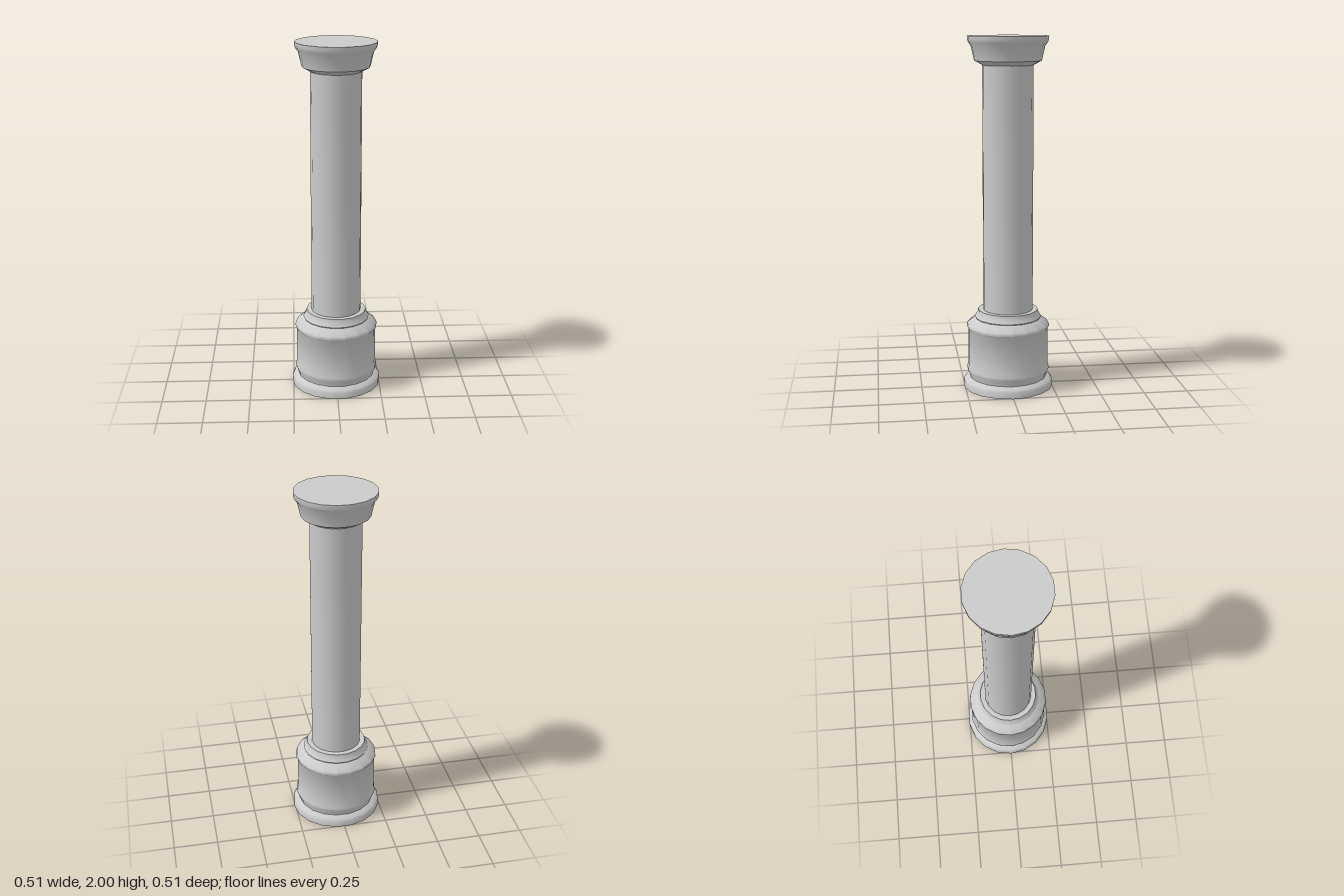
import * as THREE from 'three';
import { toCreasedNormals } from 'three/addons/utils/BufferGeometryUtils.js';

const SIDES = 18;

export function createModel() {
  const column = new THREE.Group();
  column.name = 'column';
  const stone = new THREE.MeshStandardMaterial({ color: 0xcccccc });

  // Turns a [radius, height] profile, listed from bottom to top
  function turned(name, profile) {
    const points = profile.map(([r, y]) => new THREE.Vector2(r, y));
    const lathe = new THREE.LatheGeometry(points, SIDES, Math.PI / 2);
    const mesh = new THREE.Mesh(toCreasedNormals(lathe, 0.8), stone);
    mesh.name = name;
    column.add(mesh);
  }

  // Foot moulding with its flat underside
  turned('foot', [[0, 0], [0.257, 0], [0.257, 0.035], [0.249, 0.047], [0.222, 0.06]]);

  // Drum with flared rims and a shallow waist
  turned('pedestal', [
    [0.222, 0.06], [0.224, 0.075], [0.236, 0.1], [0.236, 0.112], [0.23, 0.13],
    [0.229, 0.345], [0.237, 0.355], [0.235, 0.37], [0.195, 0.402], [0.188, 0.407],
  ]);

  // Collar around the foot of the shaft
  turned('collar', [
    [0.188, 0.407], [0.19, 0.412], [0.184, 0.422], [0.173, 0.44], [0.171, 0.455], [0.141, 0.455],
  ]);

  turned('shaft', [[0.142, 0.455], [0.142, 1.84]]);

  // Capital with a flat top
  turned('capital', [
    [0.141, 1.84], [0.187, 1.865], [0.205, 1.945], [0.22, 1.965], [0.225, 1.98],
    [0.226, 2], [0, 2],
  ]);

  return column;
}
